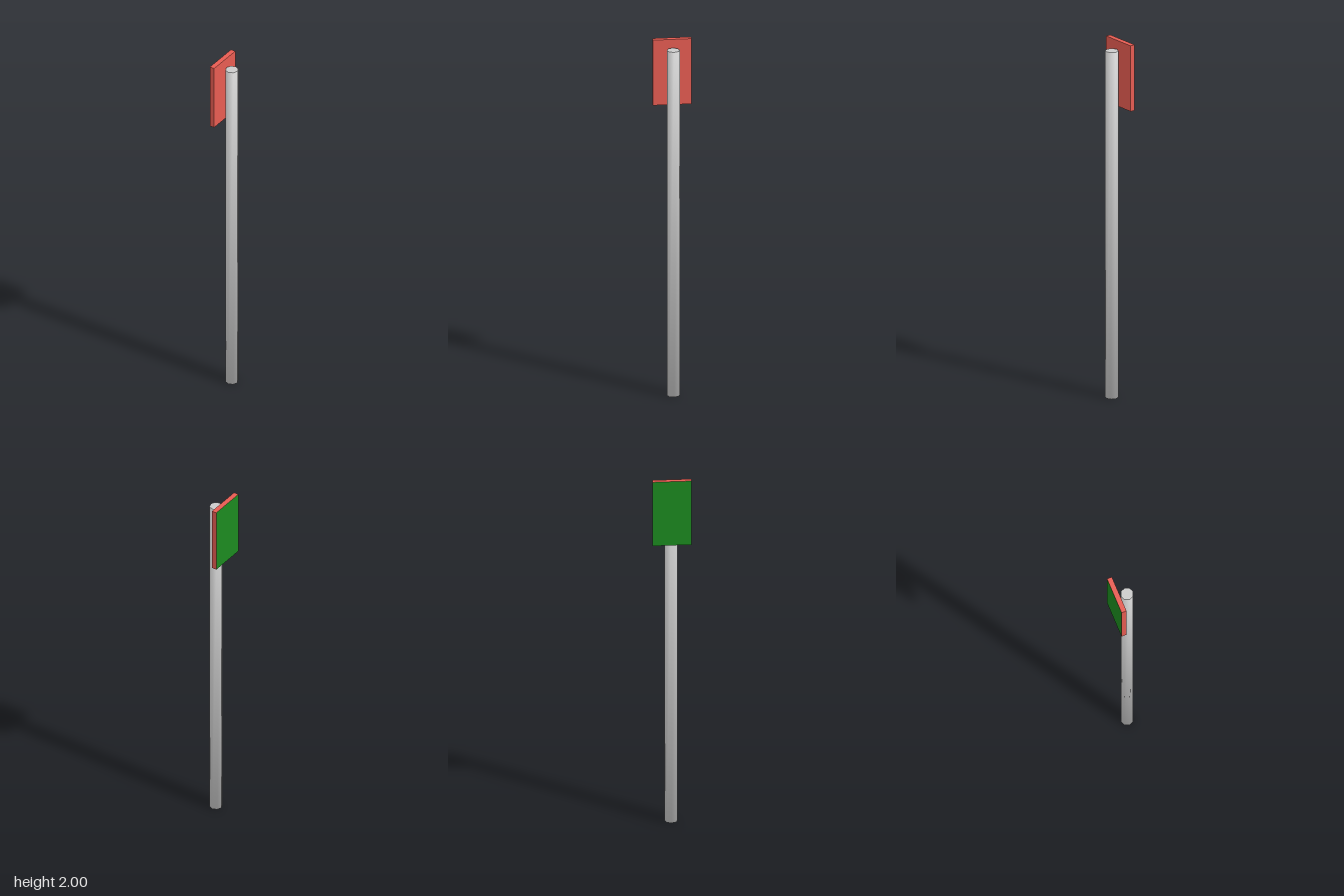
import * as THREE from 'three';

export function createModel() {
  const group = new THREE.Group();
  const add = (name, geometry, color, x, y) => {
    const mesh = new THREE.Mesh(geometry, new THREE.MeshStandardMaterial({ color }));
    mesh.name = name;
    mesh.position.set(x, y, 0);
    group.add(mesh);
    return mesh;
  };

  // Eight-sided pole, its side normals tilted outward at both ends for soft shading
  const poleHeight = 1.955;
  const poleGeometry = new THREE.CylinderGeometry(0.035, 0.035, poleHeight, 8);
  const normal = poleGeometry.attributes.normal;
  const position = poleGeometry.attributes.position;
  const n = new THREE.Vector3();
  for (let i = 0; i < normal.count; i++) {
    n.fromBufferAttribute(normal, i);
    if (Math.abs(n.y) > 0.5) continue; // flat caps
    n.y = Math.sign(position.getY(i)) * 0.6;
    n.normalize();
    normal.setXYZ(i, n.x, n.y, n.z);
  }
  add('pole', poleGeometry, 0xcccccc, 0.019, poleHeight / 2);

  // Upright signal panel beside the top of the pole
  const panelHeight = 0.37, panelWidth = 0.208, panelDepth = 0.028;
  const panelX = -0.04, panelY = 2 - panelHeight / 2;
  add('panel', new THREE.BoxGeometry(panelDepth, panelHeight, panelWidth), 0xe75c52, panelX, panelY);

  // Green outer face of the panel, facing -x
  const face = add('panelFace', new THREE.PlaneGeometry(panelWidth, panelHeight), 0x1c8a1f,
    panelX - panelDepth / 2 - 0.0005, panelY);
  face.rotation.y = -Math.PI / 2;

  return group;
}
